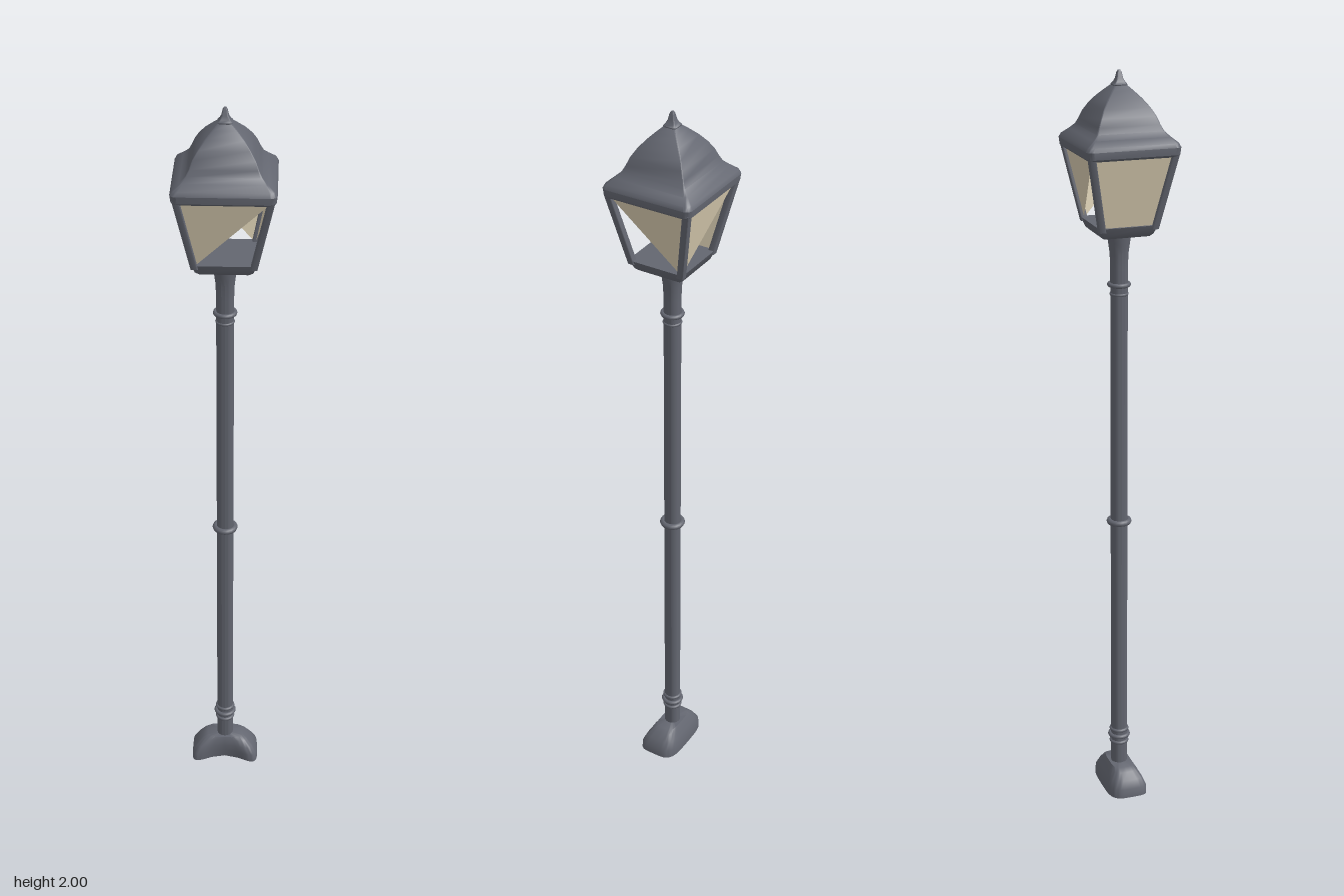
import * as THREE from 'three';
import { toCreasedNormals } from 'three/addons/utils/BufferGeometryUtils.js';

const DEPTH = 0.96; // the lantern is slightly shallower than it is wide

// Rounded rectangle cross-section at height y
function rectRing(y, hx, hz, r, cx = 0, cz = 0) {
  const pts = [];
  for (let c = 0; c < 4; c++) {
    const sx = c === 0 || c === 3 ? 1 : -1;
    const sz = c < 2 ? 1 : -1;
    for (let k = 0; k <= 4; k++) {
      const a = (c + k / 4) * Math.PI / 2;
      pts.push([cx + sx * (hx - r) + r * Math.cos(a), y, cz + sz * (hz - r) + r * Math.sin(a)]);
    }
  }
  return pts;
}

// Kidney cross-section with a hollow in its front side
function kidneyRing(y, hx, hz, cz, dip) {
  const pts = [];
  for (let i = 0; i < 40; i++) {
    const a = i / 40 * Math.PI * 2, c = Math.cos(a), s = Math.sin(a);
    const u = Math.sign(c) * Math.sqrt(Math.abs(c));
    let z = cz + hz * Math.sign(s) * Math.sqrt(Math.abs(s));
    if (s > 0) z -= dip * (1 - u * u) ** 1.5;
    pts.push([hx * u, y, z]);
  }
  return pts;
}

// Skin a stack of rings, bottom to top, with both ends closed
function loft(rings, crease = 0.6) {
  const pos = [];
  const tri = (...p) => p.forEach(v => pos.push(...v));
  const n = rings[0].length;
  const mid = ring => [0, 1, 2].map(k => ring.reduce((sum, p) => sum + p[k], 0) / n);
  const first = rings[0], last = rings[rings.length - 1];
  for (let i = 0; i < n; i++) {
    const j = (i + 1) % n;
    for (let k = 0; k < rings.length - 1; k++) {
      const a = rings[k], b = rings[k + 1];
      tri(a[i], b[i], a[j]);
      tri(a[j], b[i], b[j]);
    }
    tri(mid(first), first[i], first[j]);
    tri(mid(last), last[j], last[i]);
  }
  const g = new THREE.BufferGeometry();
  g.setAttribute('position', new THREE.Float32BufferAttribute(pos, 3));
  return toCreasedNormals(g, crease);
}

export function createModel() {
  const model = new THREE.Group();
  model.name = 'streetLamp';
  const metal = new THREE.MeshStandardMaterial({ color: 0x636670 });
  metal.name = 'slate grey metal';
  const glass = new THREE.MeshStandardMaterial({ color: 0xd8ccb0, side: THREE.DoubleSide });
  glass.name = 'cream glass';

  const add = (name, geometry, material = metal) => {
    const mesh = new THREE.Mesh(geometry, material);
    mesh.name = name;
    model.add(mesh);
    return mesh;
  };

  // Kidney-shaped foot
  add('base', loft([
    kidneyRing(0, 0.095, 0.061, 0.008, 0.04),
    kidneyRing(0.025, 0.093, 0.06, 0.008, 0.036),
    kidneyRing(0.045, 0.08, 0.05, 0.006, 0.022),
    kidneyRing(0.063, 0.064, 0.038, 0.003, 0.008),
    kidneyRing(0.072, 0.05, 0.03, 0, 0),
  ], 0.9));

  // Pole flaring into the lantern
  const profile = [[0, 0.06], [0.0225, 0.06], [0.0225, 1.5], [0.024, 1.54], [0.028, 1.57], [0.033, 1.6], [0, 1.6]];
  add('pole', toCreasedNormals(
    new THREE.LatheGeometry(profile.map(p => new THREE.Vector2(...p)), 16), 0.6));

  // Collars: height, ring radius, tube radius
  [[0.135, 0.022, 0.005], [0.155, 0.025, 0.006], [0.173, 0.022, 0.005],
    [0.805, 0.026, 0.008], [1.435, 0.021, 0.004], [1.46, 0.025, 0.006]].forEach(([y, r, t]) => {
    const collar = add('collar', new THREE.TorusGeometry(r, t, 8, 20));
    collar.rotation.x = Math.PI / 2;
    collar.position.y = y;
  });

  // Lantern tray
  add('lanternTray', loft([
    [1.595, 0.064, 0.006], [1.602, 0.072, 0.008], [1.625, 0.081, 0.008],
  ].map(([y, h, r]) => rectRing(y, h, h * DEPTH, r))));

  // Slanted corner posts
  for (const sx of [-1, 1]) {
    for (const sz of [-1, 1]) {
      add('cornerPost', loft([[1.615, 0.072], [1.81, 0.113]].map(([y, h]) =>
        rectRing(y, 0.009, 0.009, 0.003, sx * h, sz * h * DEPTH))));
    }
  }

  // Panes seen from outside: three broken to a triangle, one whole
  const corners = { TL: [-1, 1], TR: [1, 1], BL: [-1, 0], BR: [1, 0] };
  const panes = [
    ['frontPane', 0, ['BL', 'TR', 'TL']],
    ['leftPane', 1, ['TL', 'BR', 'TR']],
    ['backPane', 2, ['BL', 'TR', 'TL']],
    ['rightPane', 3, ['TL', 'BR', 'TR', 'TL', 'BL', 'BR']],
  ];
  for (const [name, turn, keys] of panes) {
    const pos = keys.flatMap(key => {
      const [s, top] = corners[key];
      const h = top ? 0.112 : 0.073;
      const v = new THREE.Vector3(s * h, top ? 1.805 : 1.62, h)
        .applyAxisAngle(new THREE.Vector3(0, 1, 0), turn * Math.PI / 2);
      return [v.x, v.y, v.z * DEPTH];
    });
    const g = new THREE.BufferGeometry();
    g.setAttribute('position', new THREE.Float32BufferAttribute(pos, 3));
    g.computeVertexNormals();
    add(name, g, glass);
  }

  // Bell-shaped square roof: height, half width, corner radius
  add('roof', loft([
    [1.8, 0.118, 0.014], [1.806, 0.125, 0.016], [1.824, 0.127, 0.016], [1.834, 0.122, 0.014],
    [1.848, 0.104, 0.008], [1.86, 0.091, 0.005], [1.875, 0.083, 0.003], [1.895, 0.075, 0.003],
    [1.915, 0.063, 0.003], [1.935, 0.047, 0.003], [1.952, 0.03, 0.003], [1.964, 0.017, 0.003],
  ].map(([y, h, r]) => rectRing(y, h, h * DEPTH, r))));

  // Finial
  add('finial', loft([
    [1.958, 0.016, 0.006], [1.966, 0.018, 0.007], [1.972, 0.013, 0.005],
    [1.98, 0.009, 0.004], [1.994, 0.006, 0.003], [2, 0.003, 0.0015],
  ].map(([y, h, r]) => rectRing(y, h, h, r)), 0.8));

  return model;
}
